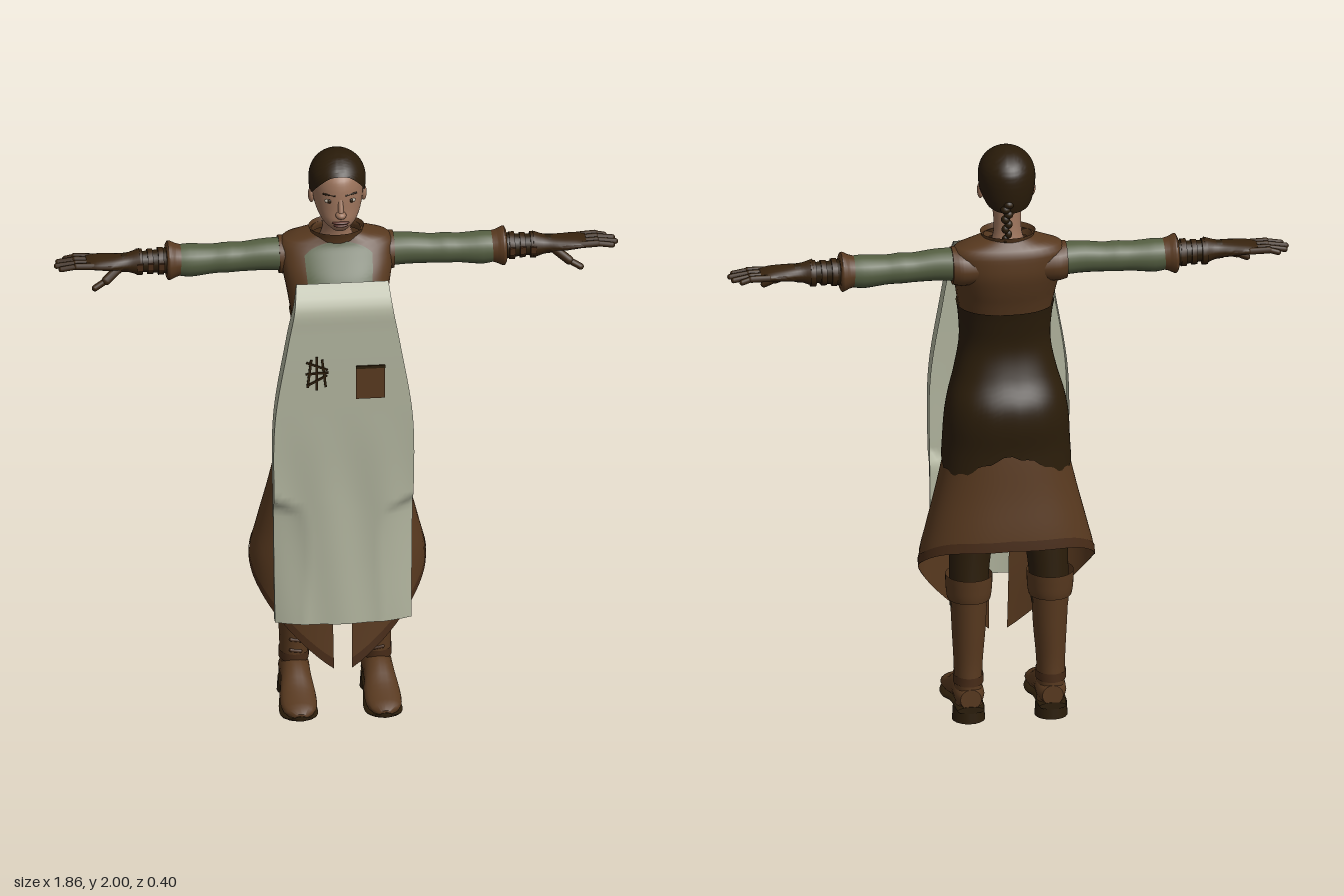
import * as THREE from 'three';
import { mergeVertices, toCreasedNormals } from 'three/addons/utils/BufferGeometryUtils.js';

const paint = (name, color, side = THREE.FrontSide) => {
  const m = new THREE.MeshStandardMaterial({ color, side });
  m.name = name;
  return m;
};
const D = THREE.DoubleSide;
const M = {
  skin: paint('skin', 0x9a725a),
  hair: paint('dark hair', 0x291b09, D),
  leather: paint('brown leather', 0x58391f, D),
  trim: paint('hem leather', 0x472b17, D),
  dark: paint('dark leather', 0x2b1d0a, D),
  glove: paint('glove leather', 0x37230e),
  shirt: paint('green cloth', 0x545e41, D),
  linen: paint('pale linen', 0xb1b49e, D),
  lips: paint('lips', 0x63392f),
  eye: paint('eye white', 0xb0a898),
};

// Smooth interpolation in rows sorted by their first value
function at(rows, p) {
  let i = 0;
  while (i < rows.length - 2 && p > rows[i + 1][0]) i++;
  const a = rows[i], b = rows[i + 1], z = rows[i - 1] || a, c = rows[i + 2] || b;
  const h = b[0] - a[0], t = Math.min(1, Math.max(0, (p - a[0]) / h)), t2 = t * t, t3 = t2 * t;
  return a.map((v, k) => {
    const m0 = (b[k] - z[k]) / (b[0] - z[0]) * h, m1 = (c[k] - v) / (c[0] - a[0]) * h;
    return (2 * t3 - 3 * t2 + 1) * v + (t3 - 2 * t2 + t) * m0 + (3 * t2 - 2 * t3) * b[k] + (t3 - t2) * m1;
  });
}

// Grid surface from a rule f(i, j) => [x, y, z]
function grid(f, nu, nv) {
  const pos = [], idx = [];
  for (let j = 0; j <= nv; j++) for (let i = 0; i <= nu; i++) pos.push(...f(i, j));
  for (let j = 0; j < nv; j++) for (let i = 0; i < nu; i++) {
    const a = j * (nu + 1) + i, d = a + nu + 1;
    idx.push(a, a + 1, d + 1, a, d + 1, d);
  }
  const g = new THREE.BufferGeometry();
  g.setAttribute('position', new THREE.Float32BufferAttribute(pos, 3));
  g.setIndex(idx);
  return toCreasedNormals(mergeVertices(g, 1e-5), 0.9);
}

// Rounded shell; rows are [y, cx, cz, rx, rz], lo and hi give its edges by angle from the front,
// bend below 1 makes the outline boxier than an ellipse
function shell(rows, { lo, hi, from = -Math.PI, to = Math.PI, nu = 36, nv = 20, grow = 0, cap = false, bend = 1 } = {}) {
  lo = lo || (() => rows[0][0]);
  hi = hi || (() => rows[rows.length - 1][0]);
  const e = cap ? 1 : 0;
  const soft = (s) => Math.sign(s) * Math.abs(s) ** bend;
  return grid((i, j) => {
    const a = from + (to - from) * i / nu;
    const v = Math.min(1, Math.max(0, (j - e) / nv));
    const y = lo(a) + (hi(a) - lo(a)) * v;
    const [, cx, cz, rx, rz] = at(rows, y);
    const k = cap && (j === 0 || j === nv + 2) ? 0 : 1;
    return [cx + k * Math.max(0, rx + grow) * soft(Math.sin(a)), y, cz + k * Math.max(0, rz + grow) * soft(Math.cos(a))];
  }, nu, nv + 2 * e);
}
const small = { cap: true, nu: 20, nv: 16 };
// Lofts along x: [x, cy, cz, ry, rz] and along z: [z, cx, cy, rx, ry]
const loftX = (rows, o = small) => shell(rows.map(([x, cy, cz, ry, rz]) => [x, -cy, cz, ry, rz]), o).rotateZ(-Math.PI / 2);
const loftZ = (rows) => shell(rows.map(([z, cx, cy, rx, ry]) => [z, cx, -cy, rx, ry]), small).rotateX(Math.PI / 2);

function capsule(a, b, r) {
  const p = new THREE.Vector3(...a), q = new THREE.Vector3(...b), d = q.clone().sub(p);
  const g = new THREE.CapsuleGeometry(r, d.length(), 4, 10);
  g.applyQuaternion(new THREE.Quaternion().setFromUnitVectors(new THREE.Vector3(0, 1, 0), d.normalize()));
  return g.translate(...p.add(q).multiplyScalar(0.5).toArray());
}
const ball = (x, y, z, rx, ry, rz) => new THREE.SphereGeometry(1, 16, 10).scale(rx, ry, rz).translate(x, y, z);
const box = (x, y, z, w, h, d, turn = 0) => new THREE.BoxGeometry(w, h, d).rotateZ(turn).translate(x, y, z);

function mirrored(geo) {
  const g = geo.index ? geo.toNonIndexed() : geo.clone();
  g.scale(-1, 1, 1);
  for (const { itemSize: n, array: s, count } of Object.values(g.attributes)) {
    for (let t = 0; t < count; t += 3) for (let k = 0; k < n; k++) {
      const p = (t + 1) * n + k, q = p + n;
      [s[p], s[q]] = [s[q], s[p]];
    }
  }
  return g;
}

export function createModel() {
  const root = new THREE.Group();
  const put = (name, geo, mat) => {
    const m = new THREE.Mesh(geo, mat);
    m.name = name;
    root.add(m);
  };
  const pair = (name, geo, mat) => {
    put('left ' + name, geo, mat);
    put('right ' + name, mirrored(geo), mat);
  };

  // Torso: vest above, dark bodice and hips below
  const bend = 0.87;
  const torso = [
    [0.8, 0, -0.02, 0.215, 0.145], [0.95, 0, -0.018, 0.206, 0.146], [1.05, 0, -0.024, 0.2, 0.15],
    [1.12, 0, -0.02, 0.188, 0.146], [1.2, 0, 0, 0.165, 0.125], [1.3, 0, 0.012, 0.146, 0.112],
    [1.4, 0, 0.008, 0.15, 0.122], [1.47, 0, 0, 0.162, 0.133], [1.52, 0, -0.02, 0.17, 0.13],
    [1.58, 0, -0.045, 0.182, 0.12], [1.63, 0, -0.065, 0.188, 0.1], [1.662, 0, -0.075, 0.187, 0.085],
    [1.678, 0, -0.074, 0.165, 0.076], [1.69, 0, -0.07, 0.12, 0.068], [1.703, 0, -0.065, 0.08, 0.06]];
  put('vest', shell(torso, { bend, lo: () => 1.42 }), M.leather);
  const hipHem = [[0, 1.17], [0.4, 1.15], [0.7, 1.08], [0.92, 0.95], [1.2, 0.935], [1.6, 0.89], [2.3, 0.875], [2.8, 0.92], [3.15, 0.95]];
  put('bodice', shell(torso, {
    bend, lo: a => at(hipHem, Math.abs(a))[1] + 0.006 * Math.sin(a * 17), hi: () => 1.44, nu: 64, nv: 28, grow: 0.005,
  }), M.dark);
  put('shirt front', shell(torso, {
    bend, from: -0.57, to: 0.57, lo: () => 1.54, hi: a => 1.685 - 0.13 * a * a, nu: 16, grow: 0.003,
  }), M.shirt);
  put('collar', shell([[1.675, 0, -0.065, 0.085, 0.07], [1.695, 0, -0.06, 0.085, 0.07], [1.715, 0, -0.06, 0.092, 0.077]], { nv: 6 }), M.leather);

  // Long skirt, split at the front, low in front and high behind
  const skirt = [
    [0.2, 0, 0, 0.26, 0.16], [0.4, 0, -0.02, 0.28, 0.165], [0.55, 0, -0.03, 0.29, 0.17], [0.65, 0, -0.03, 0.268, 0.167],
    [0.8, 0, -0.022, 0.23, 0.155], [0.95, 0, -0.015, 0.198, 0.144], [1.2, 0, 0, 0.16, 0.12]];
  const hemRows = [[0, 0.19], [0.083, 0.2], [0.39, 0.27], [0.766, 0.36], [1.25, 0.47], [1.6, 0.53], [2.3, 0.605], [3.15, 0.625]];
  const hem = a => at(hemRows, Math.abs(a > Math.PI ? 2 * Math.PI - a : a))[1];
  const split = { bend, from: 0.083, to: 2 * Math.PI - 0.083, nu: 64 };
  put('skirt', shell(skirt, { ...split, lo: hem, hi: () => 1.2 }), M.leather);
  put('skirt hem', shell(skirt, { ...split, lo: hem, hi: a => hem(a) + 0.035, nv: 3, grow: 0.002 }), M.trim);

  // Apron sheet: square side folds above, softly curved below; fold rows are [y, depth, start]
  const width = [[0.38, 0.225], [0.8, 0.23], [1.12, 0.228], [1.4, 0.185], [1.52, 0.163], [1.6, 0.152]];
  const front = [[0.38, 0.197], [0.6, 0.192], [0.85, 0.19], [1.1, 0.194], [1.45, 0.195], [1.53, 0.19], [1.6, 0.14]];
  const fold = [[0.38, 0.055, 0.45], [0.78, 0.055, 0.45], [0.84, 0.06, 0.8], [1.1, 0.064, 0.8], [1.45, 0.065, 0.8], [1.55, 0.04, 0.8], [1.6, 0.008, 0.8]];
  put('apron', grid((i, j) => {
    const u = i / 20 - 1, s = Math.abs(u), y = 0.38 + 1.22 * j / 60;
    const sway = y < 1.15 ? 0.004 * Math.sin(u * 9 + y * 4) * Math.min(1, (1.15 - y) * 3) : 0;
    const [, depth, start] = at(fold, y);
    return [Math.sign(u) * at(width, y)[1] * Math.min(s / 0.8, 1), y,
      at(front, y)[1] + sway - depth * Math.max(0, s - start) / (1 - start)];
  }, 40, 60), M.linen);
  put('apron pocket', box(0.087, 1.26, 0.199, 0.095, 0.115, 0.004), M.leather);
  put('pocket rim', box(0.087, 1.317, 0.2, 0.097, 0.01, 0.005), M.dark);
  for (let k = 0; k < 3; k++) {
    put('mending stitch', box(-0.115 + k * 0.024, 1.3, 0.199, 0.008, 0.1 + 0.02 * (k % 2), 0.004, 0.12 * (k - 1)), M.dark);
    put('mending cross stitch', box(-0.09, 1.275 + k * 0.026, 0.2, 0.075, 0.007, 0.004, 0.5 - 0.45 * k), M.dark);
  }

  // Neck, head and face
  put('neck', shell([[1.66, 0, -0.065, 0.062, 0.06], [1.72, 0, -0.055, 0.046, 0.053], [1.82, 0, -0.032, 0.05, 0.062]], small), M.skin);
  put('head', shell([
    [1.757, 0, 0.045, 0.025, 0.03], [1.778, 0, 0.03, 0.05, 0.06], [1.8, 0, 0.01, 0.066, 0.082], [1.83, 0, -0.012, 0.078, 0.099],
    [1.87, 0, -0.023, 0.084, 0.106], [1.91, 0, -0.03, 0.084, 0.107], [1.94, 0, -0.032, 0.075, 0.096], [1.97, 0, -0.033, 0.05, 0.06]],
  { cap: true, nv: 24 }), M.skin);
  put('nose bridge', capsule([0, 1.872, 0.074], [0, 1.83, 0.094], 0.009), M.skin);
  put('nose tip', ball(0, 1.823, 0.092, 0.018, 0.013, 0.02), M.skin);
  put('upper lip', ball(0, 1.794, 0.088, 0.029, 0.006, 0.012), M.lips);
  put('lower lip', ball(0, 1.783, 0.086, 0.024, 0.006, 0.011), M.lips);
  pair('eye', ball(0.036, 1.866, 0.067, 0.016, 0.007, 0.008), M.eye);
  pair('iris', ball(0.036, 1.866, 0.073, 0.007, 0.007, 0.004), M.hair);
  pair('eyebrow', capsule([0.018, 1.887, 0.077], [0.054, 1.888, 0.06], 0.003), M.hair);
  pair('ear', ball(0.086, 1.848, -0.025, 0.011, 0.028, 0.017), M.skin);

  // Hair cap and braid
  const hairline = [[0, 1.95], [0.4, 1.943], [0.8, 1.91], [1.2, 1.87], [1.7, 1.855], [2.1, 1.815], [3.15, 1.8]];
  put('hair', shell([
    [1.79, 0, -0.055, 0.066, 0.072], [1.83, 0, -0.044, 0.083, 0.094], [1.87, 0, -0.037, 0.092, 0.107], [1.91, 0, -0.034, 0.094, 0.111],
    [1.94, 0, -0.033, 0.088, 0.106], [1.965, 0, -0.033, 0.074, 0.088], [1.985, 0, -0.033, 0.052, 0.06], [1.995, 0, -0.033, 0.03, 0.035],
    [2, 0, -0.033, 0, 0]], { lo: a => at(hairline, Math.abs(a))[1], nu: 48, nv: 30 }), M.hair);
  for (let k = 0; k < 8; k++)
    put('braid strand', ball(0.012 + 0.005 * (k % 2 ? 1 : -1), 1.835 - k * 0.018, -0.13 + 0.001 * k, 0.018 - 0.001 * k, 0.015, 0.017 - 0.001 * k), M.hair);

  // Arms: armhole, sleeve, flared cuff, bracer and straps
  pair('armhole', loftX([[0.1, 1.605, -0.08, 0.06, 0.07], [0.16, 1.605, -0.082, 0.065, 0.07], [0.19, 1.608, -0.08, 0.063, 0.064]]), M.leather);
  pair('sleeve', loftX([
    [0.16, 1.61, -0.078, 0.056, 0.058], [0.24, 1.612, -0.075, 0.053, 0.053], [0.32, 1.607, -0.075, 0.049, 0.05], [0.36, 1.607, -0.075, 0.051, 0.053],
    [0.4, 1.605, -0.075, 0.049, 0.05], [0.46, 1.603, -0.075, 0.054, 0.054], [0.49, 1.603, -0.075, 0.056, 0.055], [0.53, 1.605, -0.075, 0.05, 0.05]]), M.shirt);
  pair('cuff', loftX([[0.51, 1.605, -0.075, 0.051, 0.051], [0.53, 1.605, -0.075, 0.057, 0.055], [0.555, 1.605, -0.075, 0.067, 0.062], [0.562, 1.605, -0.075, 0.055, 0.053]]), M.leather);
  pair('bracer', loftX([[0.55, 1.605, -0.075, 0.045, 0.045], [0.6, 1.605, -0.073, 0.038, 0.036], [0.66, 1.607, -0.07, 0.034, 0.034], [0.71, 1.608, -0.068, 0.03, 0.036]]), M.dark);
  for (const [x, r] of [[0.58, 0.046], [0.615, 0.042], [0.65, 0.044]]) {
    pair('bracer strap', loftX([[x - 0.009, 1.605, -0.073, r, r], [x + 0.009, 1.605, -0.073, r, r]], { cap: true, nu: 20, nv: 2 }), M.glove);
    pair('strap buckle', box(x, 1.605, -0.073 + r, 0.02, 0.024, 0.012), M.trim);
  }

  // Gloved hand, fingers spread and palm down
  pair('glove', loftX([[0.65, 1.607, -0.07, 0.045, 0.045], [0.69, 1.608, -0.068, 0.031, 0.038], [0.74, 1.61, -0.068, 0.025, 0.046], [0.79, 1.612, -0.072, 0.02, 0.05], [0.825, 1.61, -0.075, 0.014, 0.046]]), M.glove);
  for (const [z0, z1, tip] of [[-0.112, -0.12, 0.89], [-0.088, -0.098, 0.915], [-0.062, -0.067, 0.923], [-0.038, -0.04, 0.91]]) {
    pair('finger base', capsule([0.8, 1.612, z0], [0.86, 1.614, (z0 + z1) / 2], 0.0115), M.glove);
    pair('finger tip', capsule([0.86, 1.614, (z0 + z1) / 2], [tip, 1.606, z1], 0.0095), M.glove);
  }
  pair('thumb base', capsule([0.72, 1.598, -0.045], [0.765, 1.568, -0.018], 0.015), M.glove);
  pair('thumb tip', capsule([0.765, 1.568, -0.018], [0.802, 1.548, -0.008], 0.011), M.glove);

  // Legs and boots
  pair('trouser leg', shell([[0.4, 0.135, -0.09, 0.062, 0.07], [0.55, 0.13, -0.078, 0.068, 0.074], [0.75, 0.11, -0.06, 0.08, 0.085], [0.95, 0.095, -0.04, 0.088, 0.095]], small), M.dark);
  pair('boot shaft', shell([[0.05, 0.135, -0.1, 0.045, 0.055], [0.12, 0.137, -0.098, 0.046, 0.06], [0.2, 0.137, -0.096, 0.048, 0.06], [0.32, 0.135, -0.093, 0.056, 0.07], [0.44, 0.135, -0.093, 0.062, 0.077]], small), M.leather);
  pair('boot cuff', shell([[0.41, 0.135, -0.093, 0.064, 0.08], [0.44, 0.135, -0.097, 0.073, 0.09], [0.49, 0.135, -0.1, 0.077, 0.094], [0.53, 0.135, -0.102, 0.077, 0.096]], { lo: a => 0.428 - 0.008 * Math.cos(a), hi: a => 0.515 - 0.008 * Math.cos(a), nv: 8 }), M.leather);
  pair('boot foot', loftZ([
    [-0.158, 0.136, 0.085, 0.035, 0.035], [-0.12, 0.136, 0.09, 0.05, 0.045], [-0.05, 0.137, 0.09, 0.05, 0.055], [0, 0.138, 0.078, 0.053, 0.05],
    [0.06, 0.139, 0.056, 0.06, 0.038], [0.12, 0.14, 0.042, 0.058, 0.028], [0.155, 0.14, 0.038, 0.044, 0.02], [0.175, 0.14, 0.034, 0.02, 0.01]]), M.leather);
  pair('boot sole', loftZ([
    [-0.16, 0.136, 0.048, 0.045, 0.012], [-0.06, 0.137, 0.046, 0.053, 0.012], [0, 0.138, 0.03, 0.056, 0.012], [0.06, 0.139, 0.016, 0.063, 0.012],
    [0.12, 0.14, 0.015, 0.061, 0.012], [0.16, 0.14, 0.022, 0.042, 0.011], [0.178, 0.14, 0.028, 0.02, 0.009]]), M.dark);
  pair('boot heel', new THREE.CylinderGeometry(0.052, 0.055, 0.05, 20).translate(0.137, 0.025, -0.107), M.dark);
  for (let k = 0; k < 6; k++)
    pair('boot lace', capsule([0.12, 0.17 + k * 0.04, -0.04 + k * 0.003], [0.152, 0.175 + k * 0.04, -0.04 + k * 0.003], 0.006), M.trim);
  pair('ankle strap', shell([[0.13, 0.137, -0.097, 0.05, 0.063], [0.16, 0.137, -0.097, 0.05, 0.063]], { nv: 2, nu: 24 }), M.trim);

  return root;
}
